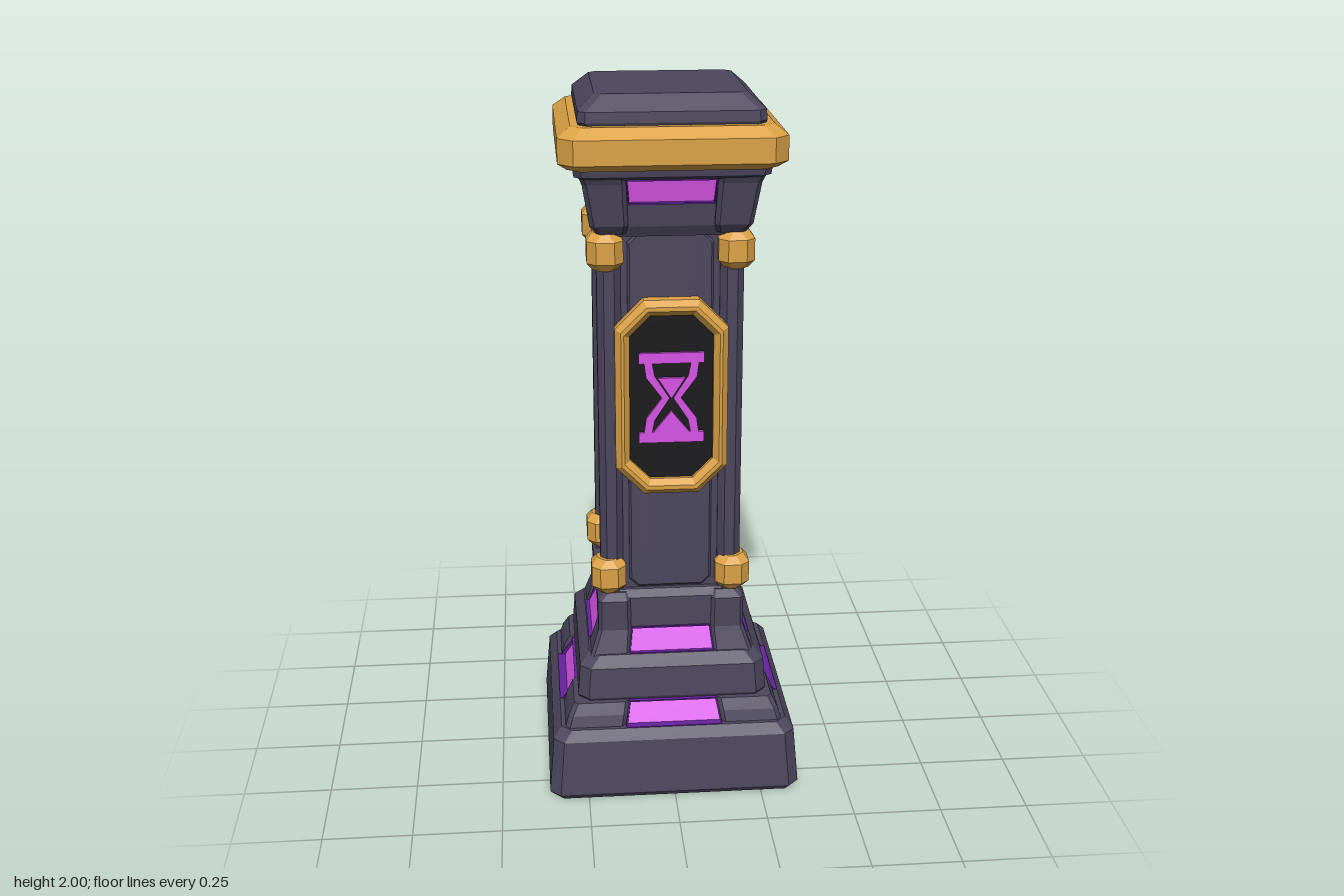
import * as THREE from 'three';

const mat = (name, color) => Object.assign(new THREE.MeshStandardMaterial({ color }), { name });

// Faceted loft through chamfered rectangles: [y, halfX, halfZ, chamfer, centreX, centreZ]
function loft(rings) {
  const loops = rings.map(([y, hx, hz = hx, c = 0.02, cx = 0, cz = 0]) => [
    [hx, hz - c], [hx, c - hz], [hx - c, -hz], [c - hx, -hz],
    [-hx, c - hz], [-hx, hz - c], [c - hx, hz], [hx - c, hz],
  ].map(([x, z]) => [cx + x, y, cz + z]));
  const pos = [];
  const tri = (...pts) => pts.forEach((p) => pos.push(...p));
  for (let r = 0; r < loops.length - 1; r++) {
    for (let i = 0; i < 8; i++) {
      const j = (i + 1) % 8, a = loops[r], b = loops[r + 1];
      tri(a[i], a[j], b[j]);
      tri(a[i], b[j], b[i]);
    }
  }
  const lo = loops[0], hi = loops[loops.length - 1];
  for (let i = 1; i < 7; i++) {
    tri(lo[0], lo[i + 1], lo[i]);
    tri(hi[0], hi[i], hi[i + 1]);
  }
  const g = new THREE.BufferGeometry();
  g.setAttribute('position', new THREE.Float32BufferAttribute(pos, 3));
  g.computeVertexNormals();
  return g;
}

// Upright octagon outline made by cutting the corners of a rectangle
const octagon = (w, h, c) => [
  [w, c - h], [w, h - c], [w - c, h], [c - w, h],
  [-w, h - c], [-w, c - h], [c - w, -h], [w - c, -h],
].map(([x, y]) => new THREE.Vector2(x, y));

const points = (pts) => pts.map(([x, y]) => new THREE.Vector2(x, y));
const polygon = (pts) => new THREE.Shape(points(pts));

export function createModel() {
  const model = new THREE.Group();
  model.name = 'pillar';
  const stone = mat('slate stone', 0x4c475d);
  const gold = mat('gold trim', 0xdba246);
  const glow = mat('magenta glow', 0xdb56ec);
  const violet = mat('deep violet', 0x66229c);
  const black = mat('black inlay', 0x1b1a1c);

  const add = (name, geometry, material, parent = model) => {
    const m = new THREE.Mesh(geometry, material);
    m.name = name;
    parent.add(m);
    return m;
  };

  // Stacked stone body
  add('foot', loft([[0, 0.352, 0.352, 0.03], [0.015, 0.362, 0.362, 0.03], [0.18, 0.348, 0.348, 0.03],
    [0.208, 0.325, 0.325, 0.03]]), stone);
  add('lowerTier', loft([[0.2, 0.29], [0.275, 0.252]]), stone);
  add('middleTier', loft([[0.27, 0.268, 0.268, 0.03], [0.28, 0.273, 0.273, 0.03],
    [0.37, 0.266, 0.266, 0.03], [0.4, 0.238, 0.238, 0.03]]), stone);
  add('neck', loft([[0.39, 0.215], [0.469, 0.178], [0.47, 0.2], [0.56, 0.198], [0.58, 0.18]]), stone);
  add('shaft', loft([[0.57, 0.178, 0.166], [1.64, 0.178, 0.166]]), stone);
  add('capital', loft([[1.62, 0.185], [1.65, 0.2], [1.712, 0.208], [1.713, 0.195], [1.782, 0.205],
    [1.783, 0.23], [1.82, 0.25]]), stone);
  add('capitalLip', loft([[1.782, 0.235], [1.793, 0.258], [1.82, 0.262]]), stone);
  add('goldBand', loft([[1.813, 0.275, 0.275, 0.035], [1.832, 0.3, 0.3, 0.04],
    [1.898, 0.3, 0.3, 0.04], [1.925, 0.265, 0.265, 0.03]]), gold);
  add('cap', loft([[1.91, 0.237], [1.932, 0.247], [1.96, 0.245], [2, 0.2]]), stone);

  // Corner pieces: each ring is [y, outer edge x, outer edge z, inner edge x, inner edge z]
  const corner = (name, rings, material, c) => {
    for (const sx of [-1, 1]) for (const sz of [-1, 1]) {
      add(name, loft(rings.map(([y, ox, oz = ox, ix = 0.13, iz = ix]) => [
        y, (ox - ix) / 2, (oz - iz) / 2, c, sx * (ox + ix) / 2, sz * (oz + iz) / 2,
      ])), material);
    }
  };
  corner('lowerTierCorner', [[0.2, 0.315, 0.315, 0.14], [0.24, 0.303, 0.303, 0.133], [0.272, 0.286, 0.286, 0.127]], stone, 0.012);
  corner('neckCorner', [[0.39, 0.236, 0.236, 0.122], [0.465, 0.21, 0.21, 0.115],
    [0.555, 0.21, 0.21, 0.117], [0.575, 0.19, 0.19, 0.122]], stone, 0.01);
  corner('cornerPost', [[0.57, 0.2, 0.188, 0.135, 0.12], [1.64, 0.2, 0.188, 0.135, 0.12]], stone, 0.018);
  corner('capitalCorner', [[1.63, 0.2, 0.2, 0.12], [1.655, 0.218, 0.218, 0.115],
    [1.77, 0.237, 0.237, 0.121], [1.8, 0.25, 0.25, 0.123]], stone, 0.012);
  for (const y of [0.63, 1.58]) {
    corner('goldStud', [[y - 0.052, 0.21, 0.198, 0.144, 0.124], [y - 0.03, 0.226, 0.214, 0.128, 0.108],
      [y + 0.03, 0.226, 0.214, 0.128, 0.108], [y + 0.052, 0.21, 0.198, 0.144, 0.124]], gold, 0.024);
  }

  // Recessed window: glowing face (z0 to z1) inside a violet sill, lintel and jambs (out to o0, o1)
  const addWindow = (parent, [y0, w0, z0, o0], [y1, w1, z1, o1]) => {
    const win = new THREE.Group();
    win.name = 'window';
    parent.add(win);
    add('windowGlow', loft([[y0, w0, 0.004, 0.001, 0, z0], [y1, w1, 0.004, 0.001, 0, z1]]), glow, win);
    const shelf = (name, y, w, z, o) => {
      const ring = [w, (o - z) / 2, 0.001, 0, (o + z) / 2];
      add(name, loft([[y - 0.002, ...ring], [y + 0.002, ...ring]]), violet, win);
    };
    shelf('windowSill', y0 + 0.001, w0, z0, o0);
    shelf('windowLintel', y1, w1, z1, o1);
    for (const s of [-1, 1]) {
      add('windowJamb', loft([[y0, 0.002, (o0 - z0) / 2, 0.001, s * w0, (o0 + z0) / 2 - 0.008],
        [y1, 0.002, (o1 - z1) / 2, 0.001, s * w1, (o1 + z1) / 2 - 0.004]]), violet, win);
    }
  };

  // Repeated on all four sides: windows and a raised shaft panel
  for (let k = 0; k < 4; k++) {
    const side = new THREE.Group();
    side.name = 'side';
    side.rotation.y = k * Math.PI / 2;
    model.add(side);
    addWindow(side, [0.208, 0.137, 0.3, 0.325], [0.269, 0.125, 0.263, 0.28]);
    addWindow(side, [0.4, 0.121, 0.222, 0.236], [0.468, 0.113, 0.187, 0.206]);
    addWindow(side, [1.714, 0.114, 0.2, 0.222], [1.78, 0.12, 0.211, 0.234]);

    const wide = k % 2 === 0;
    const panel = add('shaftPanel', new THREE.ExtrudeGeometry(
      new THREE.Shape(octagon(wide ? 0.117 : 0.103, 0.52, 0.025)),
      { depth: 0.004, bevelThickness: 0.006, bevelSize: 0.006, bevelOffset: -0.006, bevelSegments: 1 }), stone, side);
    panel.position.set(0, 1.105, wide ? 0.165 : 0.177);
  }

  // Medallion with an hourglass, front and back
  for (const angle of [0, Math.PI]) {
    const medallion = new THREE.Group();
    medallion.name = 'medallion';
    medallion.rotation.y = angle;
    medallion.position.y = 1.17;
    model.add(medallion);

    const ring = new THREE.Shape(octagon(0.139, 0.264, 0.07));
    ring.holes.push(new THREE.Path(octagon(0.131, 0.252, 0.066).reverse()));
    add('medallionFrame', new THREE.ExtrudeGeometry(ring,
      { depth: 0.032, bevelThickness: 0.016, bevelSize: 0.016, bevelSegments: 1 }), gold, medallion).position.z = 0.179;
    add('medallionInlay', new THREE.ExtrudeGeometry(new THREE.Shape(octagon(0.128, 0.248, 0.06)),
      { depth: 0.03, bevelEnabled: false }), black, medallion).position.z = 0.17;

    const glass = polygon([[0.076, 0.105], [0.07, 0.06], [0.026, 0], [0.07, -0.06], [0.076, -0.105],
      [-0.076, -0.105], [-0.07, -0.06], [-0.026, 0], [-0.07, 0.06], [-0.076, 0.105]]);
    glass.holes.push(new THREE.Path(points([[0.053, 0.1], [0.046, 0.064], [0.005, 0], [0.046, -0.064], [0.053, -0.1],
      [-0.053, -0.1], [-0.046, -0.064], [-0.005, 0], [-0.046, 0.064], [-0.053, 0.1]])));
    const shapes = {
      hourglassGlass: glass,
      hourglassTop: polygon([[-0.09, 0.1], [0.09, 0.1], [0.09, 0.13], [-0.09, 0.13]]),
      hourglassBottom: polygon([[-0.09, -0.13], [0.09, -0.13], [0.09, -0.1], [-0.09, -0.1]]),
      upperSand: polygon([[0, -0.002], [0.038, 0.058], [-0.038, 0.058]]),
      lowerSand: polygon([[-0.05, -0.1], [0.05, -0.1], [0, -0.038]]),
    };
    for (const [name, shape] of Object.entries(shapes)) {
      add(name, new THREE.ExtrudeGeometry(shape, { depth: 0.009, bevelEnabled: false }), glow, medallion).position.z = 0.2;
    }
  }
  return model;
}
